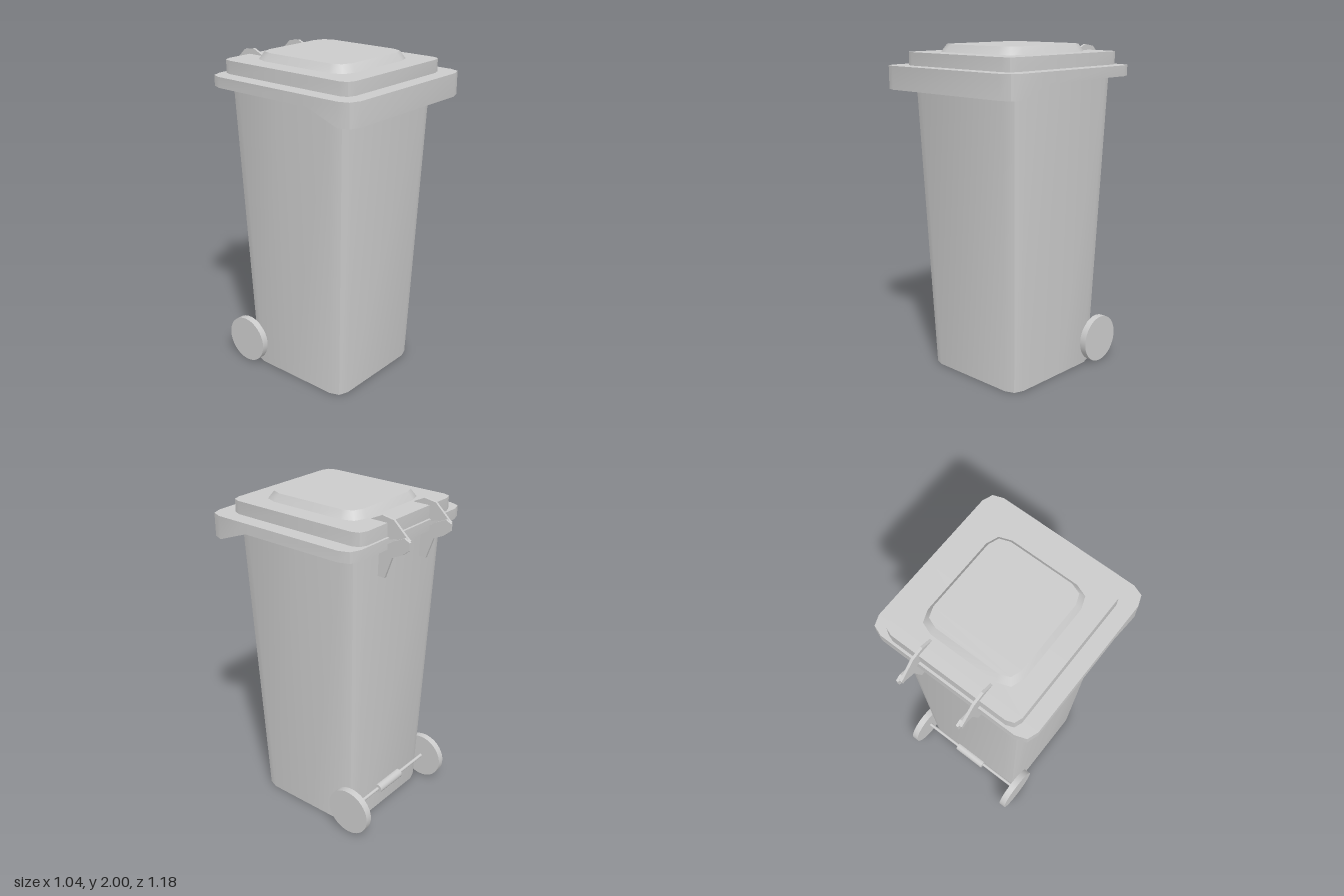
import * as THREE from 'three';
import { toCreasedNormals } from 'three/addons/utils/BufferGeometryUtils.js';

const material = new THREE.MeshStandardMaterial({ color: 0xcccccc });

// Rectangle outline with two-facet corners: half width w, back zb, front zf, corner size c.
// zSplit adds a point on each long side.
function outline(w, zb, zf, c, zSplit = 0) {
  const k = c * 0.27;
  const half = [
    [w - c, zf], [w - k, zf - k], [w, zf - c], [w, zSplit],
    [w, zb + c], [w - k, zb + k], [w - c, zb],
  ];
  return [...half, ...half.slice().reverse().map(([x, z]) => [-x, z])];
}

// Closed solid through stacked rings; y may be a number or a function of z
function loft(rings) {
  const positions = [], index = [];
  const n = rings[0].points.length;
  for (const { y, points } of rings) {
    for (const [x, z] of points) positions.push(x, typeof y === 'function' ? y(z) : y, z);
  }
  const quad = (a, b, c, d) => index.push(a, b, c, a, c, d);
  for (let r = 0; r < rings.length - 1; r++) {
    for (let i = 0; i < n; i++) {
      const j = (i + 1) % n;
      quad(r * n + i, r * n + j, (r + 1) * n + j, (r + 1) * n + i);
    }
  }
  // Caps made of strips that join the mirrored points
  const top = (rings.length - 1) * n;
  for (let i = 0; i < n / 2 - 1; i++) {
    quad(n - 1 - i, n - 2 - i, i + 1, i);
    quad(top + i, top + i + 1, top + n - 2 - i, top + n - 1 - i);
  }
  const geometry = new THREE.BufferGeometry();
  geometry.setAttribute('position', new THREE.Float32BufferAttribute(positions, 3));
  geometry.setIndex(index);
  return toCreasedNormals(geometry, 0.85);
}

// Flat plate cut from a side profile of [z, y] points, starting at x
function plate(profile, x, depth) {
  const shape = new THREE.Shape(profile.map(([z, y]) => new THREE.Vector2(-z, y)));
  const geometry = new THREE.ExtrudeGeometry(shape, { depth, bevelEnabled: false });
  return geometry.rotateY(Math.PI / 2).translate(x, 0, 0);
}

function rod(radius, length, segments, x, y, z) {
  return new THREE.CylinderGeometry(radius, radius, length, segments)
    .rotateZ(Math.PI / 2).translate(x, y, z);
}

export function createModel() {
  const model = new THREE.Group();
  model.name = 'wheeledBin';
  const add = (name, geometry, parent = model) => {
    const mesh = new THREE.Mesh(geometry, material);
    mesh.name = name;
    parent.add(mesh);
  };

  // Tapered container
  add('body', loft([
    { y: 0, points: outline(0.36, -0.325, 0.4, 0.08) },
    { y: 1.83, points: outline(0.427, -0.395, 0.465, 0.09) },
  ]));

  // Lid: rim with a deeper front lip, then two raised steps
  const lid = new THREE.Group();
  lid.name = 'lid';
  model.add(lid);
  const rim = outline(0.52, -0.45, 0.59, 0.085, 0.3);
  const lipY = (z) => 1.74 + 0.075 * THREE.MathUtils.clamp((0.5 - z) / 0.2, 0, 1);
  add('lidRim', loft([{ y: lipY, points: rim }, { y: 1.878, points: rim }]), lid);
  const step = outline(0.426, -0.435, 0.5, 0.06);
  add('lidStep', loft([{ y: 1.87, points: step }, { y: 1.955, points: step }]), lid);
  add('lidPanel', loft([
    { y: 1.95, points: outline(0.313, -0.311, 0.376, 0.1) },
    { y: 2, points: outline(0.283, -0.278, 0.342, 0.085) },
  ]), lid);

  // Hinges: an arm on the lid beside a bracket on the body
  const armProfile = [
    [-0.33, 1.95], [-0.33, 1.958], [-0.4, 1.99], [-0.475, 1.978], [-0.56, 1.9],
    [-0.58, 1.885], [-0.575, 1.85], [-0.54, 1.86], [-0.49, 1.88], [-0.435, 1.86], [-0.42, 1.95],
  ];
  const bracketProfile = [
    [-0.38, 1.65], [-0.38, 1.82], [-0.44, 1.84], [-0.49, 1.87], [-0.555, 1.9], [-0.59, 1.882],
    [-0.588, 1.84], [-0.55, 1.808], [-0.48, 1.775], [-0.434, 1.65],
  ];
  for (const [side, x] of [['left', 0.198], ['right', -0.19]]) {
    const hinge = new THREE.Group();
    hinge.name = side + 'Hinge';
    model.add(hinge);
    add('hingeArm', plate(armProfile, x - 0.015, 0.015), hinge);
    add('hingeBracket', plate(bracketProfile, x, 0.015), hinge);
  }

  // Wheels, axle and its central sleeve
  const axleY = 0.148, axleZ = -0.341;
  for (const [side, s] of [['left', 1], ['right', -1]]) {
    add(side + 'Wheel', rod(0.147, 0.042, 40, s * 0.389, axleY, axleZ));
  }
  add('axle', rod(0.011, 0.75, 12, 0, axleY, axleZ));
  add('axleSleeve', rod(0.03, 0.22, 16, 0, axleY, axleZ));

  return model;
}
